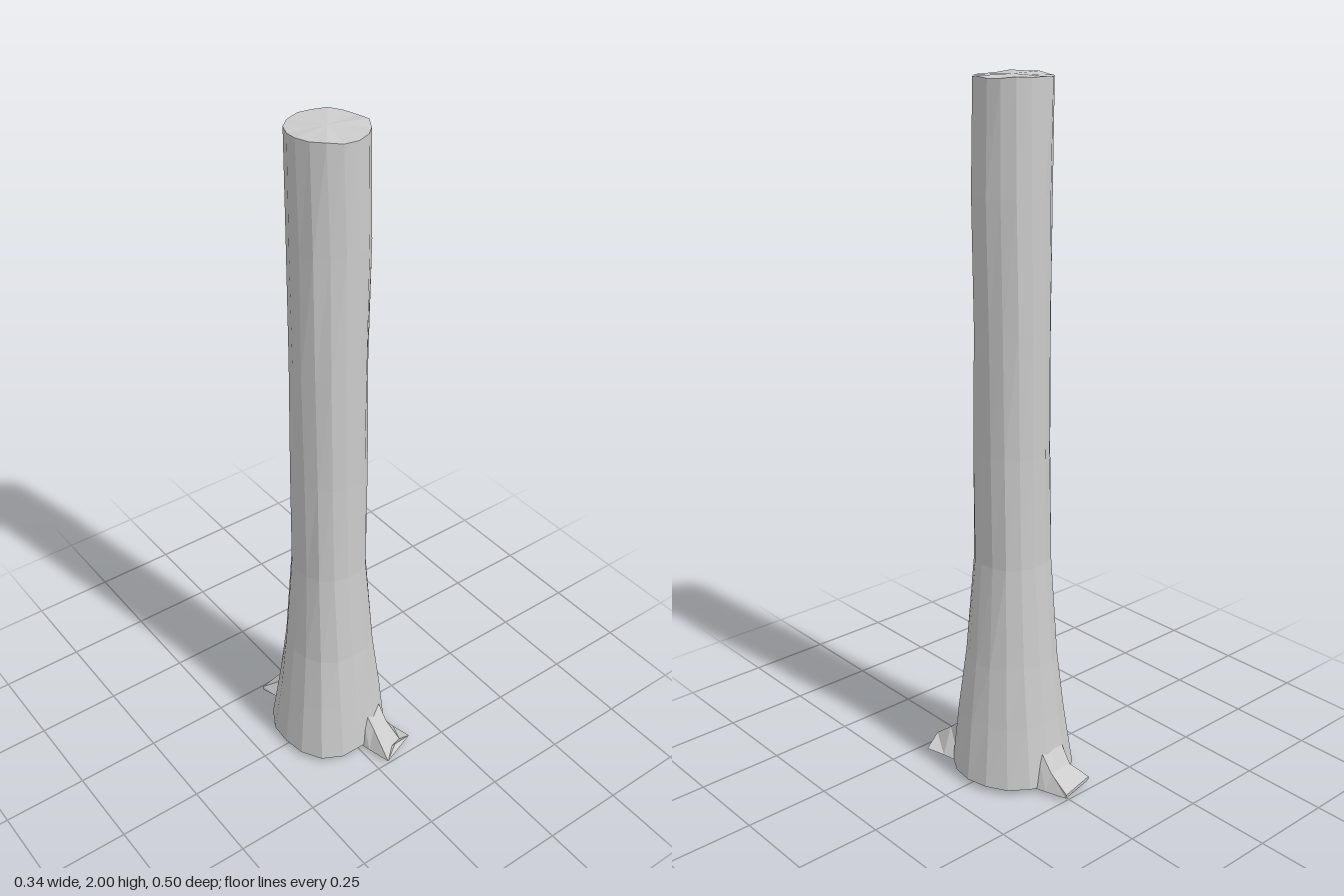
import * as THREE from 'three';

const material = new THREE.MeshStandardMaterial({ color: 0xcccccc, flatShading: true });

// Skins a list of equal-length rings (clockwise seen from the far end) and caps both ends.
function loft(name, rings, startCentre, endCentre) {
  const n = rings[0].length;
  const points = [...rings.flat(), startCentre, endCentre];
  const start = points.length - 2, end = points.length - 1;
  const last = (rings.length - 1) * n;
  const index = [];
  for (let j = 0; j < n; j++) {
    const k = (j + 1) % n;
    for (let i = 0; i < rings.length - 1; i++) {
      const a = i * n + j, b = i * n + k, c = a + n, d = b + n;
      index.push(a, c, b, b, c, d);
    }
    index.push(start, j, k, end, last + k, last + j);
  }
  const geometry = new THREE.BufferGeometry();
  geometry.setAttribute('position', new THREE.Float32BufferAttribute(points.flat(), 3));
  geometry.setIndex(index);
  const flat = geometry.toNonIndexed();
  flat.computeVertexNormals();
  const mesh = new THREE.Mesh(flat, material);
  mesh.name = name;
  return mesh;
}

// Small repeatable unevenness for the bark
function jitter(i, j) {
  const s = Math.sin(i * 12.99 + j * 78.23) * 43758.55;
  return (s - Math.floor(s)) * 2 - 1;
}

// Outline of the flared foot, every 22.5 degrees from +x towards +z
const footRadii = [0.167, 0.168, 0.172, 0.168, 0.158, 0.166, 0.176, 0.171,
  0.170, 0.178, 0.183, 0.179, 0.172, 0.171, 0.168, 0.165];

// Trunk levels: height, radius, centre x, centre z, share of the foot outline, twist
const levels = [
  [0.015, 0.17, 0, 0, 1, 0],
  [0.20, 0.148, 0, 0, 0.8, 0.02],
  [0.38, 0.128, 0, -0.002, 0.5, 0.05],
  [0.68, 0.107, -0.003, -0.003, 0.2, 0.1],
  [1.00, 0.105, -0.003, -0.003, 0, 0.14],
  [1.35, 0.105, -0.002, -0.004, 0, 0.18],
  [1.70, 0.106, 0, -0.004, 0, 0.22],
  [1.995, 0.103, -0.005, -0.005, 0, 0.26],
];

function trunk() {
  const n = footRadii.length;
  const rings = levels.map(([y, r, cx, cz, foot, twist], i) =>
    footRadii.map((f, j) => {
      const a = (j / n) * Math.PI * 2 + twist;
      const rough = i === 0 ? 0 : 0.003 * jitter(i, j);
      const radius = r * (1 + foot * (f / 0.17 - 1)) + rough;
      const dy = i === 0 ? 0.004 * jitter(9, j) : i === levels.length - 1 ? 0.004 * jitter(5, j) : 0;
      return [cx + radius * Math.cos(a), y + dy, cz + radius * Math.sin(a)];
    }));
  return loft('trunk', rings, [0, 0, 0], [-0.005, 1.998, -0.005]);
}

export function createModel() {
  const group = new THREE.Group();
  group.name = 'treeTrunk';
  group.add(trunk());

  // Root at the front, ending in a notched tip
  group.add(loft('frontRoot', [
    [[0.0, 0.012, 0.11], [0.03, 0.16, 0.11], [0.095, 0.145, 0.10], [0.125, 0.015, 0.09]],
    [[0.018, 0.01, 0.18], [0.04, 0.08, 0.17], [0.09, 0.085, 0.17], [0.135, 0.015, 0.15]],
    [[0.036, 0.01, 0.25], [0.07, 0.035, 0.225], [0.10, 0.045, 0.223], [0.15, 0.015, 0.21]],
  ], [0.06, 0.08, 0.1], [0.09, 0.02, 0.215]));

  // Root at the back, spreading to a flat edge
  group.add(loft('backRoot', [
    [[0.055, 0.012, -0.13], [0.02, 0.15, -0.13], [-0.06, 0.15, -0.13], [-0.065, 0.012, -0.12]],
    [[0.035, 0.01, -0.19], [0.015, 0.065, -0.19], [-0.065, 0.06, -0.185], [-0.085, 0.012, -0.18]],
    [[0.012, 0.008, -0.25], [0.012, 0.02, -0.252], [-0.1, 0.022, -0.228], [-0.1, 0.01, -0.227]],
  ], [-0.01, 0.08, -0.12], [-0.045, 0.015, -0.24]));

  return group;
}
